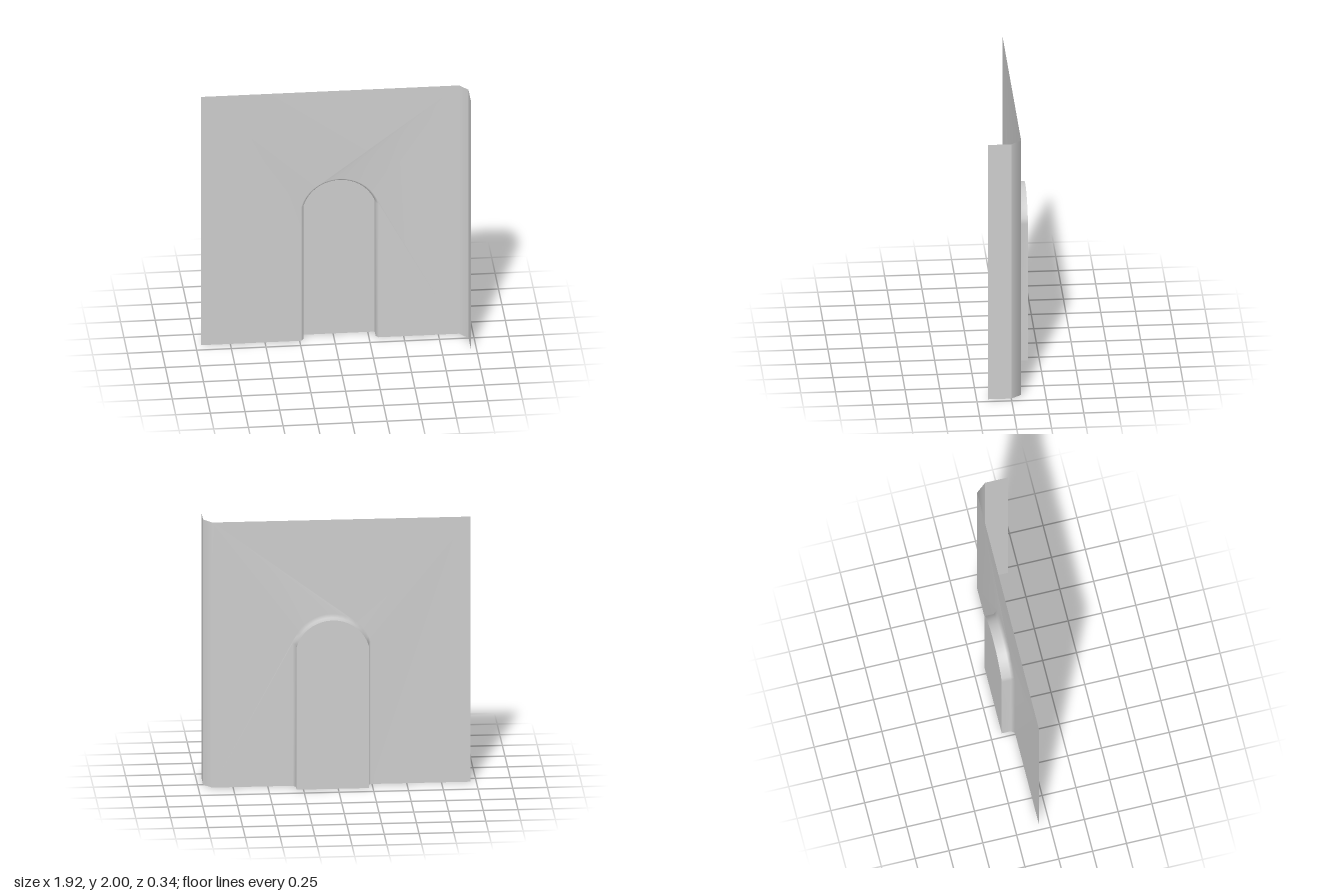
import * as THREE from 'three';
import { mergeGeometries, mergeVertices } from 'three/addons/utils/BufferGeometryUtils.js';

const HEIGHT = 2, LEFT = -0.96, RIGHT = 0.96, FOLD = 0.90;
const WALL_Z = -0.075, BEVEL_Z = -0.1, BACK_Z = -0.168, FRONT_Z = 0.168;
const DOOR_X = 0.04, ARCH_Y = 1.0;

// Doorway outline from the left foot over the arch to the right foot
function archPoints(halfWidth, radius, segments = 18) {
  const start = Math.acos(halfWidth / radius);
  const points = [new THREE.Vector2(DOOR_X - halfWidth, 0)];
  for (let i = 0; i <= segments; i++) {
    const a = Math.PI - start - (i / segments) * (Math.PI - 2 * start);
    points.push(new THREE.Vector2(DOOR_X + radius * Math.cos(a), ARCH_Y + radius * Math.sin(a)));
  }
  points.push(new THREE.Vector2(DOOR_X + halfWidth, 0));
  return points;
}

const atDepth = (points, z) => points.map((p) => new THREE.Vector3(p.x, p.y, z));
const upright = (x, z) => [new THREE.Vector3(x, 0, z), new THREE.Vector3(x, HEIGHT, z)];

// Surface stretched between successive rows of points
function loft(rows) {
  const n = rows[0].length, index = [];
  for (let r = 0; r < rows.length - 1; r++) {
    for (let i = 0; i < n - 1; i++) {
      const a = r * n + i, b = a + n;
      index.push(a, b, a + 1, b, b + 1, a + 1);
    }
  }
  const geometry = new THREE.BufferGeometry().setFromPoints(rows.flat());
  geometry.setIndex(index);
  return geometry;
}

function flatShape(points, z) {
  const geometry = new THREE.ShapeGeometry(new THREE.Shape(points)).translate(0, 0, z);
  geometry.deleteAttribute('uv');
  geometry.deleteAttribute('normal');
  return geometry;
}

export function createModel() {
  const group = new THREE.Group();
  const material = new THREE.MeshStandardMaterial({ color: 0xcccccc, side: THREE.DoubleSide });
  const add = (name, geometry) => {
    geometry.computeVertexNormals();
    const mesh = new THREE.Mesh(geometry, material);
    mesh.name = name;
    group.add(mesh);
  };

  const outer = archPoints(0.28, 0.29);
  const inner = archPoints(0.26, 0.27);

  // Wall sheet, softly joined to the doorway bevel, reveal and corner chamfer
  const sheet = flatShape([
    new THREE.Vector2(LEFT, 0),
    ...outer,
    new THREE.Vector2(FOLD, 0),
    new THREE.Vector2(FOLD, HEIGHT),
    new THREE.Vector2(LEFT, HEIGHT),
  ], WALL_Z);
  const reveal = loft([atDepth(outer, WALL_Z), atDepth(inner, BEVEL_Z), atDepth(inner, BACK_Z)]);
  const chamfer = loft([upright(FOLD, WALL_Z), upright(RIGHT, 0)]);
  add('wall', mergeVertices(mergeGeometries([sheet, reveal, chamfer])));

  // Flat panel closing the back of the doorway
  add('doorPanel', flatShape(inner, BACK_Z));

  // Return of the wall along its side edge
  add('sideReturn', loft([upright(RIGHT, 0), upright(RIGHT, FRONT_Z)]));

  return group;
}
